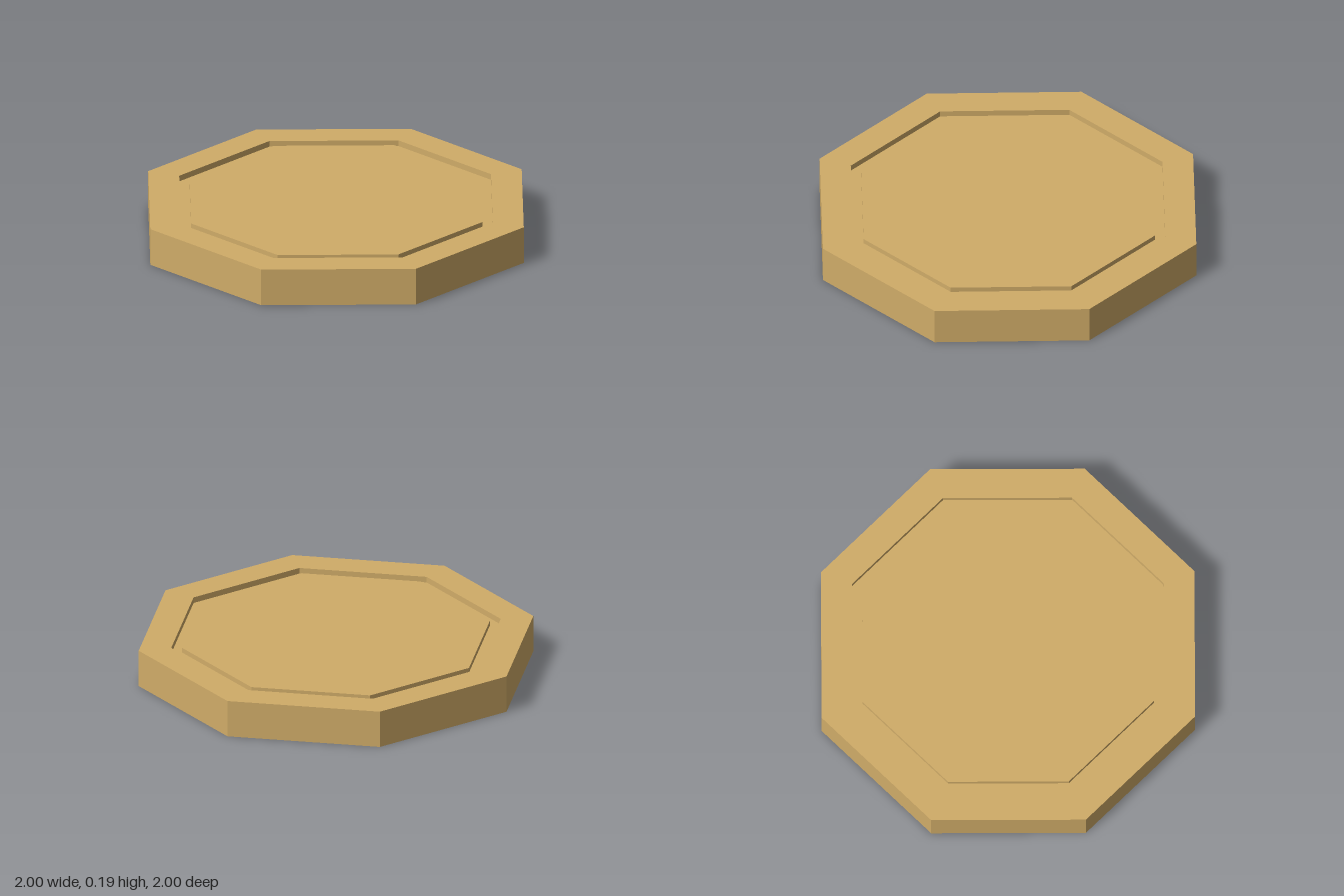
import * as THREE from 'three';

const SIDES = 8;
const HEIGHT = 0.19;
const RIM_INNER = 0.835; // outer edge of the groove
const FIELD = 0.78; // radius of the central face
const GROOVE = 0.03; // groove depth
const RECESS = 0.005; // the central face sits just below the rim

export function createModel() {
  const group = new THREE.Group();
  group.name = 'octagonalCoin';

  // Half profile, from the groove floor's inner edge outward to the rim
  const half = [[0, RECESS], [FIELD, RECESS], [FIELD, GROOVE], [RIM_INNER, GROOVE], [RIM_INNER, 0], [1, 0]];
  const bottom = half.map(([r, d]) => new THREE.Vector2(r, d));
  const top = half.map(([r, d]) => new THREE.Vector2(r, HEIGHT - d)).reverse();

  // Eight-sided lathe with faceted normals, corners on the x and z axes
  const geometry = new THREE.LatheGeometry([...bottom, ...top], SIDES).toNonIndexed();
  geometry.computeVertexNormals();

  const material = new THREE.MeshStandardMaterial({ color: 0xd0ac68, flatShading: true });
  const coin = new THREE.Mesh(geometry, material);
  coin.name = 'coinBody';
  group.add(coin);
  return group;
}
